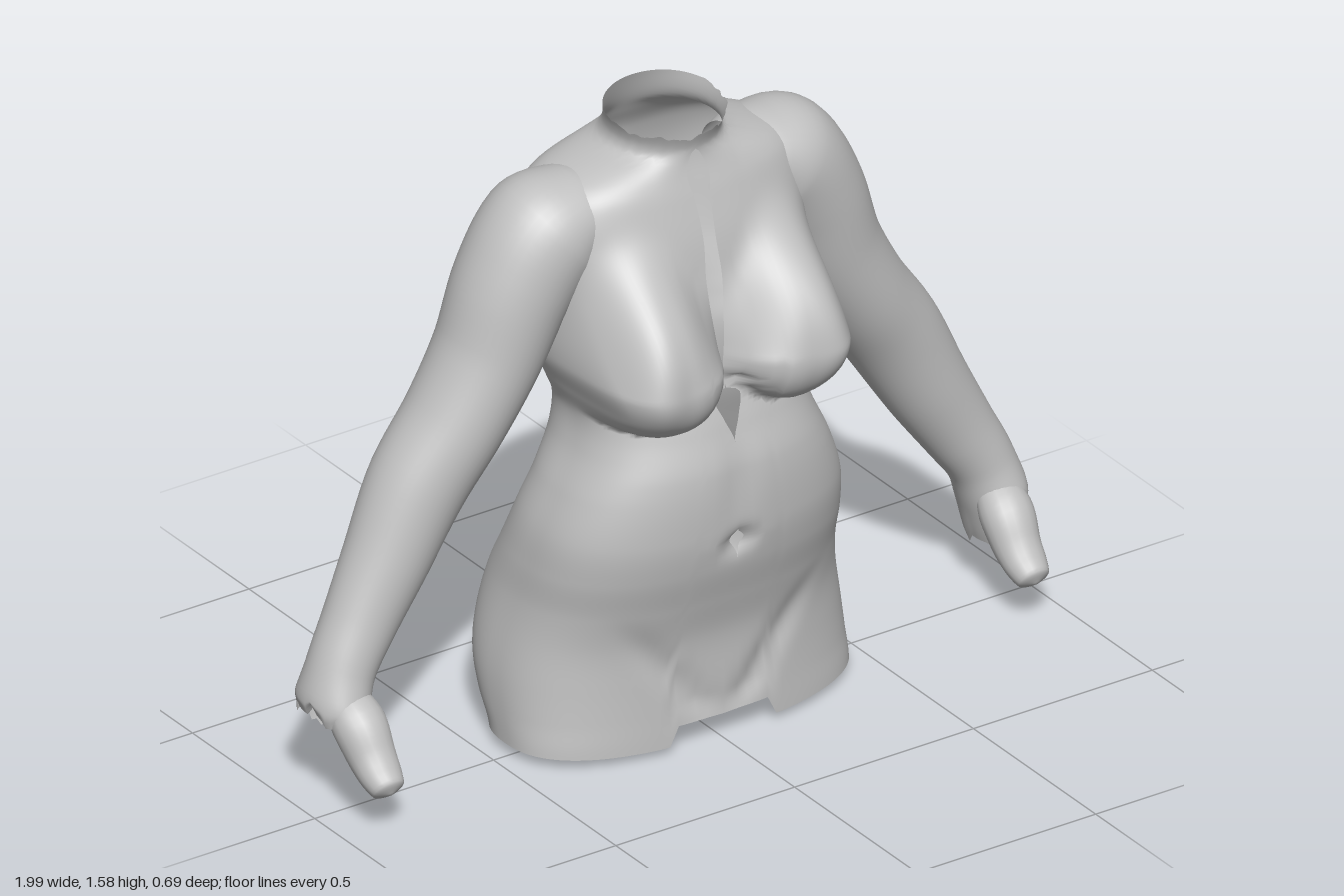
import * as THREE from 'three';
import { mergeVertices } from 'three/addons/utils/BufferGeometryUtils.js';

const clay = new THREE.MeshStandardMaterial({ color: 0xc0c0c0, side: THREE.DoubleSide });
clay.name = 'grey clay';

const smooth = THREE.MathUtils.smoothstep;
const bell = (d, w) => Math.exp(-((d / w) ** 2));
const jag = (a) => Math.sin(a * 7) * 0.5 + Math.sin(a * 17 + 1) * 0.3 + Math.sin(a * 29 + 2) * 0.2;

// Smooth interpolation through [y, value] pairs
function profile(keys) {
  const n = keys.length - 1;
  const slope = (i) => {
    const a = keys[Math.max(i - 1, 0)], b = keys[Math.min(i + 1, n)];
    return (b[1] - a[1]) / (b[0] - a[0]);
  };
  return (y) => {
    if (y <= keys[0][0]) return keys[0][1];
    if (y >= keys[n][0]) return keys[n][1];
    let i = 0;
    while (keys[i + 1][0] < y) i++;
    const [y0, v0] = keys[i], [y1, v1] = keys[i + 1], h = y1 - y0, t = (y - y0) / h;
    const t2 = t * t, t3 = t2 * t;
    return (2 * t3 - 3 * t2 + 1) * v0 + (t3 - 2 * t2 + t) * h * slope(i)
      + (3 * t2 - 2 * t3) * v1 + (t3 - t2) * h * slope(i + 1);
  };
}

// Surface from a grid of points: fn(u, v) -> [x, y, z]
function surface(name, cols, rows, fn) {
  const pos = [], index = [], w = cols + 1;
  for (let j = 0; j <= rows; j++)
    for (let i = 0; i <= cols; i++) pos.push(...fn(i / cols, j / rows));
  for (let j = 0; j < rows; j++)
    for (let i = 0; i < cols; i++) {
      const a = j * w + i;
      index.push(a, a + 1, a + w + 1, a, a + w + 1, a + w);
    }
  let geo = new THREE.BufferGeometry();
  geo.setAttribute('position', new THREE.Float32BufferAttribute(pos, 3));
  geo.setIndex(index);
  geo = mergeVertices(geo, 1e-5);
  geo.computeVertexNormals();
  const mesh = new THREE.Mesh(geo, clay);
  mesh.name = name;
  return mesh;
}

// Limb along stations [x, y, z, radius in the frontal plane, radius in depth]
function limb(name, stations, sides, rows, endOffset = () => 0) {
  const path = new THREE.CatmullRomCurve3(stations.map((s) => new THREE.Vector3(s[0], s[1], s[2])));
  const radii = new THREE.CatmullRomCurve3(stations.map((s) => new THREE.Vector3(s[3], s[4], 0)));
  return surface(name, sides, rows, (u, v) => {
    const a = -u * Math.PI * 2, p = path.getPoint(v), r = radii.getPoint(v);
    const t = path.getTangent(v);
    const n = new THREE.Vector3(-t.y, t.x, 0).normalize();
    const b = new THREE.Vector3().crossVectors(n, t);
    p.addScaledVector(n, r.x * Math.cos(a)).addScaledVector(b, r.y * Math.sin(a));
    p.addScaledVector(t, endOffset(a) * smooth(v, 0.86, 1));
    return p.toArray();
  });
}

// Torso outline: half width, front depth and back depth by height
const halfWidth = profile([[0, 0.46], [0.2, 0.455], [0.4, 0.42], [0.5, 0.41], [0.6, 0.393], [0.7, 0.355],
  [0.8, 0.31], [0.88, 0.297], [0.95, 0.32], [1.03, 0.347], [1.2, 0.345], [1.32, 0.355], [1.4, 0.345],
  [1.45, 0.3], [1.475, 0.235], [1.497, 0.16], [1.52, 0.14], [1.55, 0.14], [1.59, 0.153]]);
const front = profile([[0, 0.215], [0.2, 0.21], [0.3, 0.215], [0.4, 0.24], [0.5, 0.268], [0.6, 0.283],
  [0.75, 0.28], [0.85, 0.25], [0.95, 0.215], [1.1, 0.188], [1.2, 0.172], [1.3, 0.153], [1.4, 0.123],
  [1.48, 0.096], [1.52, 0.096], [1.59, 0.125]]);
const back = profile([[0, -0.23], [0.06, -0.25], [0.12, -0.3], [0.2, -0.34], [0.3, -0.348], [0.4, -0.33],
  [0.5, -0.28], [0.6, -0.235], [0.7, -0.205], [0.85, -0.2], [1, -0.212], [1.1, -0.235], [1.2, -0.252],
  [1.3, -0.265], [1.4, -0.25], [1.47, -0.215], [1.52, -0.19], [1.59, -0.165]]);

// Half width of the gaps along the front centre line
const slit = profile([[0.52, 0], [0.54, 0.006], [0.565, 0.02], [0.59, 0], [0.815, 0], [0.87, 0.02], [0.925, 0.035],
  [0.94, 0], [0.985, 0], [1.05, 0.01], [1.2, 0.022], [1.3, 0.017], [1.4, 0.022], [1.45, 0.03], [1.5, 0.012], [1.51, 0]]);

// Forward swell of the chest, rounder below and sloping above, fuller outward
function chestSwell(x, y) {
  const u = (x - 0.195) / 0.178, dy = y - 1.02;
  const v = dy < 0 ? dy / 0.145 : dy / 0.38;
  const q = u * u + v * v;
  const fullness = 0.15 + 0.06 * smooth(x, 0.16, 0.3);
  return q < 1 ? fullness * (1 - q) ** (0.55 + Math.max(v, 0) * 2.8) : 0;
}

function torsoPoint(u, v) {
  const a = u * Math.PI * 2, s = Math.sin(a), c = Math.cos(a);
  const fromFront = Math.min(a, Math.PI * 2 - a);
  // Hem rises in a notch at the front; the neck rim is ragged
  const bottom = 0.03 + 0.05 * (1 - smooth(fromFront, 0.2, 0.25)) - 0.015 * smooth(-c, 0.2, 1) + 0.012 * Math.abs(s);
  const top = 1.57 - 0.02 * c + 0.01 * jag(a) * smooth(c, -0.6, 0.4);
  const y = bottom + (top - bottom) * v;
  const hw = halfWidth(y), zf = front(y), zb = back(y), zc = (zf + zb) / 2, depth = (zf - zb) / 2;
  const e = 0.8 - 0.06 * bell(y - 1.2, 0.15) + 0.2 * smooth(y, 1.42, 1.5);
  const side = a < Math.PI ? 1 : -1;
  let ax = hw * Math.abs(s) ** e;
  if (ax < 1e-6) ax = 0;
  if (c > 0) ax += Math.max(slit(y), 0) * Math.max(1 - ax / 0.12, 0);
  let z = zc + depth * Math.sign(c) * Math.abs(c) ** e;
  const f = smooth(c, 0, 0.45), b = smooth(-c, 0, 0.5);
  z += f * chestSwell(ax, y);
  // Belly line, navel dip and groin creases
  z -= f * 0.01 * bell(ax, 0.04) * bell(y - 0.72, 0.12);
  z -= f * 0.025 * bell(ax, 0.03) * bell(y - 0.56, 0.03);
  z -= f * 0.016 * bell(ax - (0.05 + (y - 0.1) * 0.75), 0.045) * smooth(y, 0.06, 0.14) * (1 - smooth(y, 0.2, 0.42));
  // Spine furrow, shoulder blades and seat cleft
  z += b * 0.027 * bell(ax, 0.045) * smooth(y, 0.6, 0.8) * (1 - smooth(y, 1.25, 1.45));
  z -= b * 0.01 * bell(ax - 0.19, 0.09) * bell(y - 1.25, 0.14);
  z += b * (0.045 + 0.08 * (1 - smooth(y, 0.05, 0.25))) * bell(ax, 0.038) * (1 - smooth(y, 0.42, 0.6));
  return [side * ax, y, z];
}

// Arm with a ragged open palm, and a thumb
function makeArm(name) {
  const arm = new THREE.Group();
  arm.name = name;
  arm.add(limb('armAndPalm', [
    [0.17, 1.395, -0.05, 0.06, 0.08], [0.25, 1.372, -0.05, 0.11, 0.13], [0.33, 1.325, -0.055, 0.15, 0.15],
    [0.405, 1.215, -0.06, 0.143, 0.145], [0.475, 1.05, -0.065, 0.128, 0.135], [0.56, 0.905, -0.07, 0.12, 0.128],
    [0.66, 0.76, -0.078, 0.12, 0.117], [0.755, 0.59, -0.07, 0.106, 0.1], [0.833, 0.46, -0.06, 0.092, 0.087],
    [0.892, 0.36, -0.05, 0.082, 0.085], [0.922, 0.27, -0.045, 0.08, 0.103], [0.932, 0.195, -0.045, 0.066, 0.1],
  ], 40, 66, (a) => -0.02 - 0.05 * Math.cos(a) + 0.018 * jag(a)));
  arm.add(limb('thumb', [
    [0.91, 0.31, -0.02, 0.05, 0.04], [0.905, 0.25, 0.045, 0.066, 0.062], [0.902, 0.19, 0.09, 0.058, 0.056],
    [0.902, 0.155, 0.128, 0.052, 0.046], [0.902, 0.132, 0.16, 0.04, 0.036], [0.902, 0.123, 0.172, 0, 0],
  ], 20, 24));
  return arm;
}

export function createModel() {
  const model = new THREE.Group();
  model.name = 'torsoFigure';
  model.add(surface('torso', 128, 170, torsoPoint));

  // Saddle between the open thighs
  model.add(surface('crotch', 12, 20, (u, v) => {
    const k = 2 * v - 1, x = (2 * u - 1) * (0.045 + 0.09 * k * k);
    const droop = 0.055 * (x / 0.13) ** 2 * (1 - smooth(k, 0.4, 1));
    return [x, 0.085 - droop - 0.03 * (1 - k * k), -0.15 + 0.35 * v];
  }));

  const left = makeArm('leftArm');
  const right = makeArm('rightArm');
  right.scale.x = -1;
  model.add(left, right);
  return model;
}
